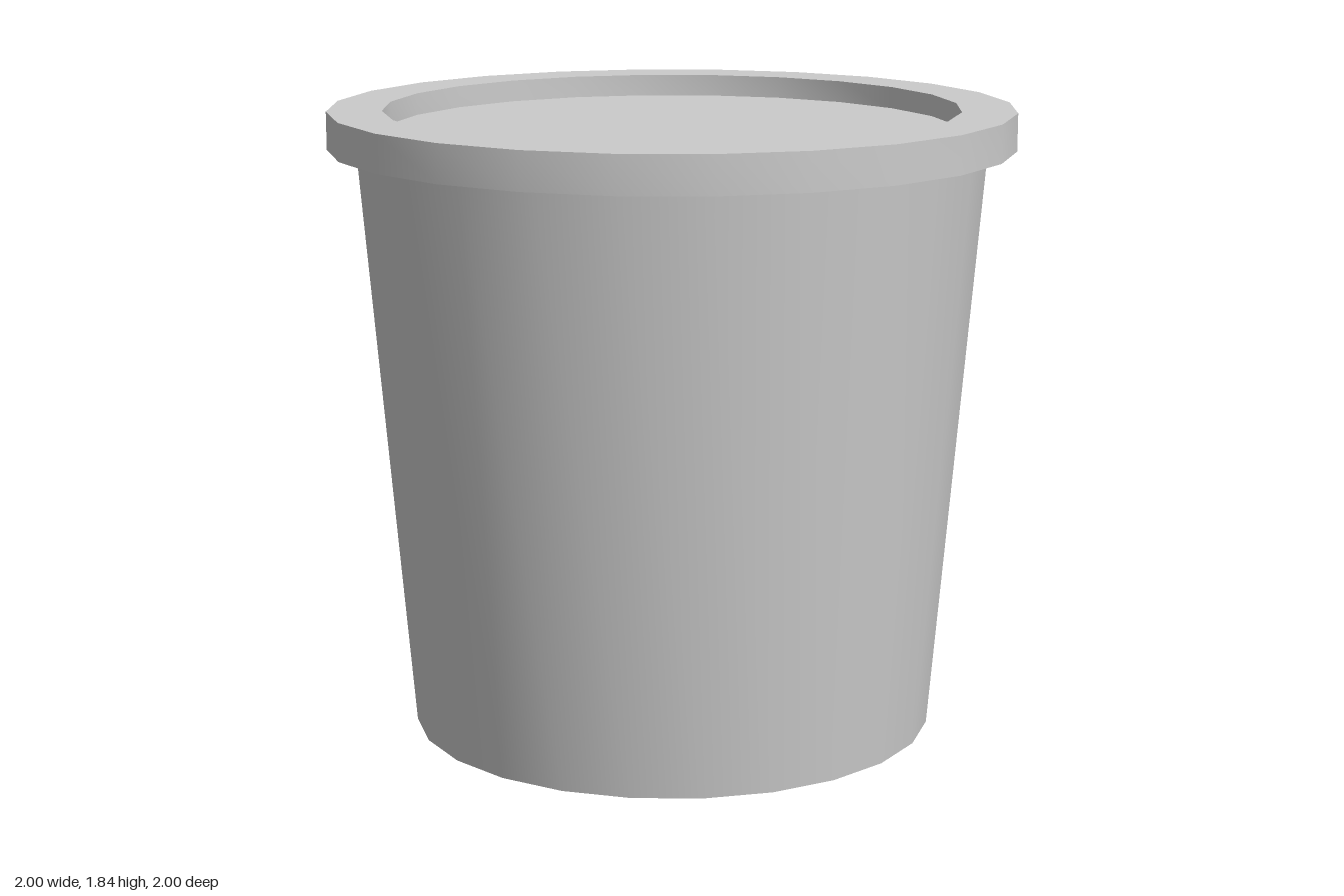
import * as THREE from 'three';
import { toCreasedNormals } from 'three/addons/utils/BufferGeometryUtils.js';

const SIDES = 24;

export function createModel() {
  const group = new THREE.Group();
  group.name = 'lidded tub';
  const material = new THREE.MeshStandardMaterial({ color: 0xcccccc });

  // Turns a profile of [radius, height] points, smooth around and sharp at corners
  const addTurned = (name, profile) => {
    const points = profile.map(([r, y]) => new THREE.Vector2(r, y));
    const geometry = toCreasedNormals(new THREE.LatheGeometry(points, SIDES), Math.PI / 6);
    const mesh = new THREE.Mesh(geometry, material);
    mesh.name = name;
    group.add(mesh);
  };

  // Tapered tub with a flat base, open under the lid
  addTurned('tub', [[0, 0], [0.773, 0], [0.917, 1.735]]);

  // Overhanging lid: underside, outer band, flat rim, recessed centre
  addTurned('lid', [[0.9, 1.73], [1, 1.73], [1, 1.84], [0.84, 1.84], [0.84, 1.775], [0, 1.775]]);

  return group;
}
